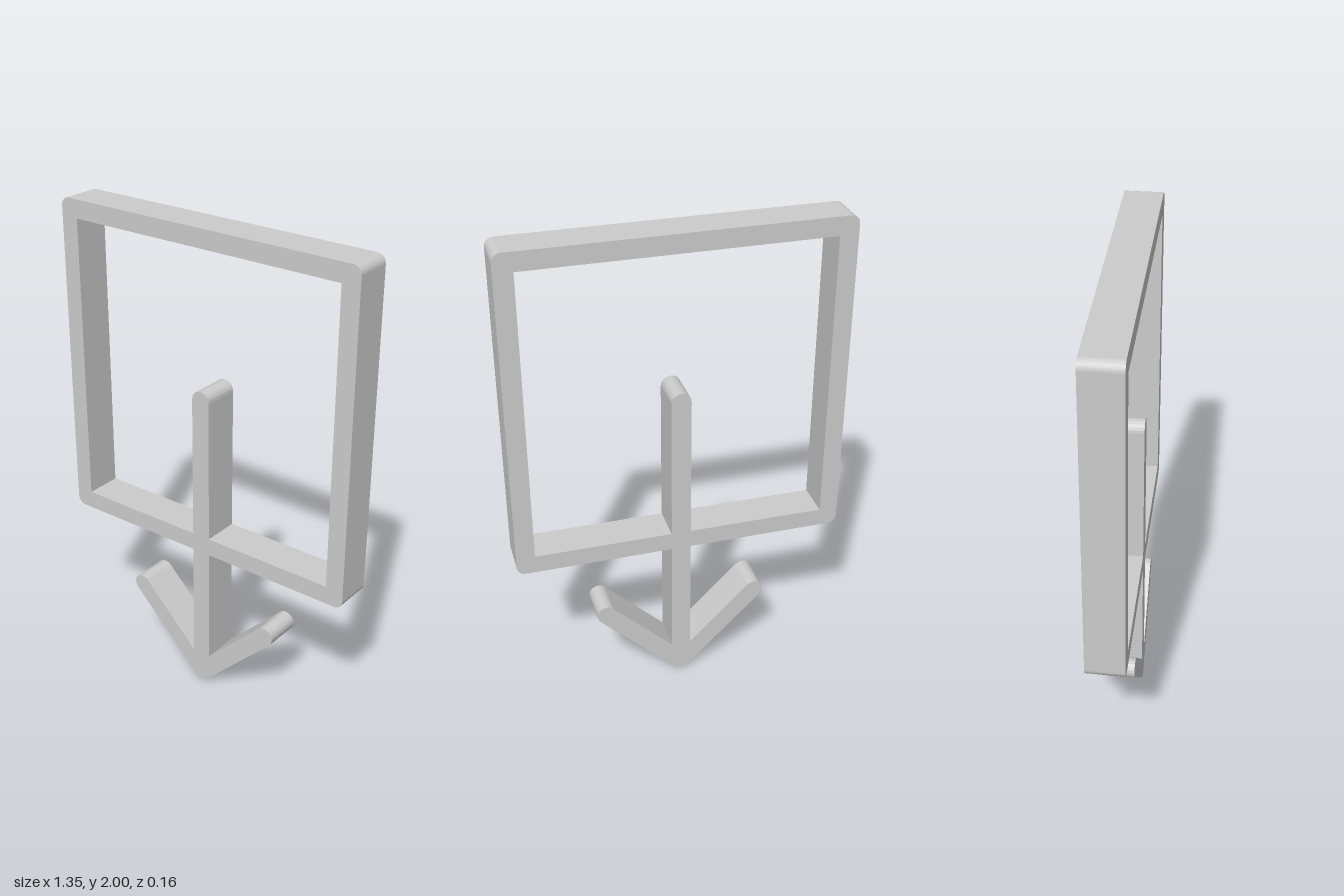
import * as THREE from 'three';

const DEPTH = 0.155;
const R = 0.04; // half width of the arrow's strokes

export function createModel() {
  const group = new THREE.Group();
  const lightGrey = new THREE.MeshStandardMaterial({ color: 0xcccccc });
  lightGrey.name = 'light grey';

  const addPlate = (name, shape) => {
    const geometry = new THREE.ExtrudeGeometry(shape, { depth: DEPTH, bevelEnabled: false, curveSegments: 5 });
    geometry.translate(0, 0, -DEPTH / 2);
    const mesh = new THREE.Mesh(geometry, lightGrey);
    mesh.name = name;
    group.add(mesh);
  };

  // Square frame with rounded outer corners and a sharp opening
  const w = 0.675, bottom = 0.645, top = 2, r = 0.035;
  const frame = new THREE.Shape();
  frame.absarc(w - r, bottom + r, r, -Math.PI / 2, 0);
  frame.absarc(w - r, top - r, r, 0, Math.PI / 2);
  frame.absarc(-w + r, top - r, r, Math.PI / 2, Math.PI);
  frame.absarc(-w + r, bottom + r, r, Math.PI, Math.PI * 1.5);
  frame.closePath();
  const opening = new THREE.Path([[-0.6, 0.72], [-0.6, 1.925], [0.6, 1.925], [0.6, 0.72]]
    .map(([x, y]) => new THREE.Vector2(x, y)));
  opening.closePath();
  frame.holes.push(opening);
  addPlate('frame', frame);

  // Shaft inside the frame, with a round upper end
  const upperShaft = new THREE.Shape();
  upperShaft.moveTo(-R, 0.72);
  upperShaft.lineTo(R, 0.72);
  upperShaft.absarc(0, 1.36 - R, R, 0, Math.PI);
  upperShaft.closePath();
  addPlate('upperShaft', upperShaft);

  // Lower shaft and the two round-ended barbs meeting at the tip
  const q = Math.PI / 4, tipY = 0.042, barb = 0.32;
  const notchY = tipY + R + R * Math.SQRT2;
  const arrow = new THREE.Shape();
  arrow.moveTo(R, bottom);
  arrow.lineTo(R, notchY);
  arrow.absarc(barb, tipY + barb, R, 3 * q, -q, true);
  arrow.absarc(0, tipY, R, -q, -3 * q, true);
  arrow.absarc(-barb, tipY + barb, R, 5 * q, q, true);
  arrow.lineTo(-R, notchY);
  arrow.lineTo(-R, bottom);
  arrow.closePath();
  addPlate('arrowHead', arrow);

  return group;
}
